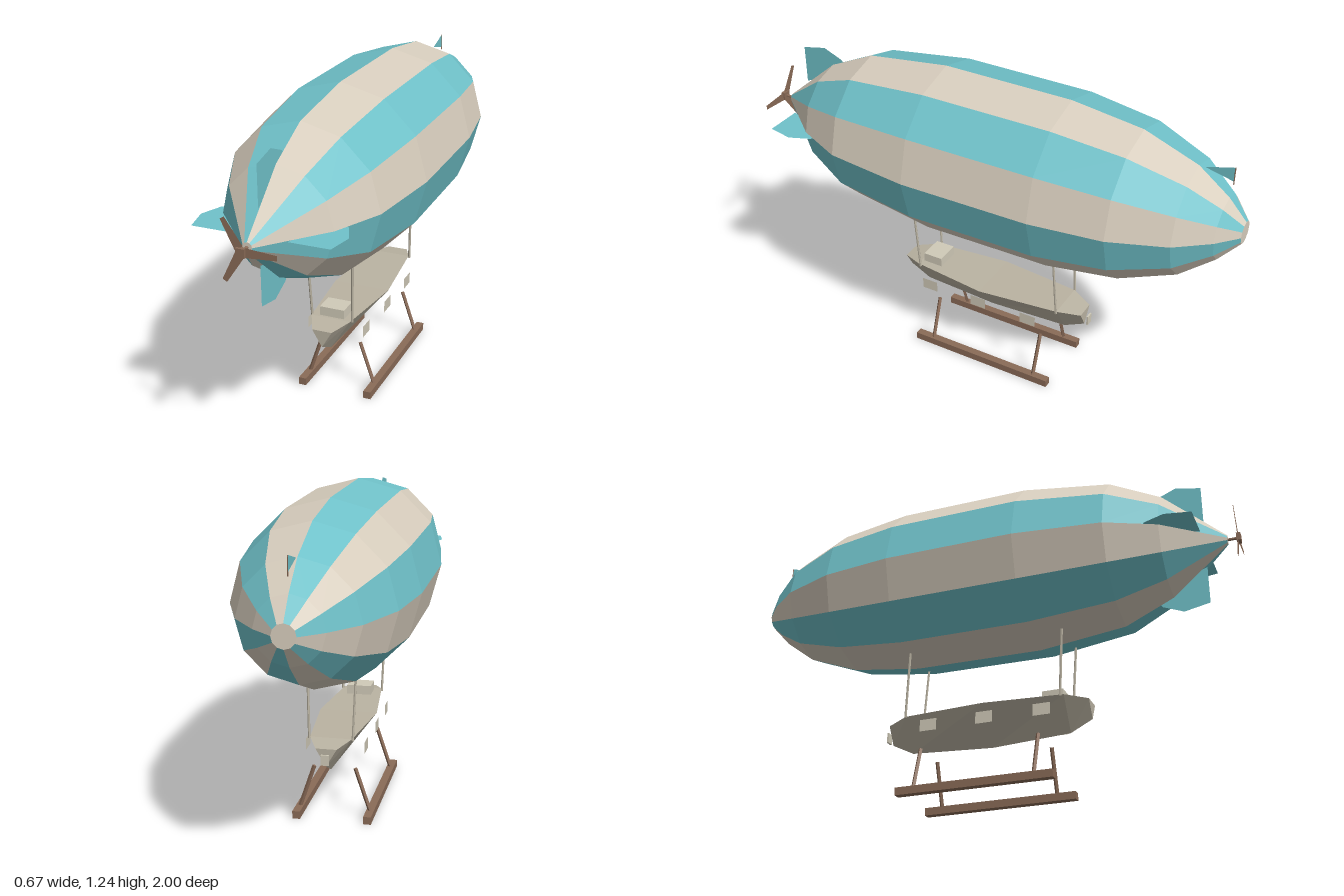
import * as THREE from 'three';

const mat = (name, color, flat = {}) => Object.assign(
  new THREE.MeshStandardMaterial({ color, flatShading: true, ...flat }), { name });
const DS = { side: THREE.DoubleSide };
const teal = mat('teal canvas', 0x70c2ca);
const cream = mat('cream canvas', 0xd8cebe);
const tealSheet = mat('teal sheet', 0x70c2ca, DS);
const stone = mat('stone grey', 0xbab3a2);
const pale = mat('pale panel', 0xd0cab8, DS);
const wood = mat('wood', 0x8a6b57, DS);

const AXIS_Y = 0.905;

function mesh(name, geo, material, parent) {
  const m = new THREE.Mesh(geo, material);
  m.name = name;
  parent.add(m);
  return m;
}

function geometryFrom(tris) {
  const g = new THREE.BufferGeometry().setFromPoints(tris);
  g.computeVertexNormals();
  return g;
}

// Skin over cross-sections ordered from +z to -z; only sides accepted by "use" are built
function loft(sections, use = () => true, caps = true) {
  const out = [];
  const n = sections[0].length;
  for (let i = 0; i < sections.length - 1; i++) {
    for (let k = 0; k < n; k++) {
      if (!use(k)) continue;
      const j = (k + 1) % n;
      const [a, b] = [sections[i][k], sections[i][j]];
      const [d, c] = [sections[i + 1][k], sections[i + 1][j]];
      out.push(a, d, c, a, c, b);
    }
  }
  if (caps) {
    const f = sections[0], e = sections[sections.length - 1];
    for (let k = 1; k < n - 1; k++) out.push(f[0], f[k], f[k + 1], e[0], e[k + 1], e[k]);
  }
  return geometryFrom(out);
}

// Thin round or square rod between two points
function rod(name, from, to, radius, sides, material, parent) {
  const a = new THREE.Vector3(...from), b = new THREE.Vector3(...to);
  const m = mesh(name, new THREE.CylinderGeometry(radius, radius, a.distanceTo(b), sides), material, parent);
  m.position.copy(a).add(b).multiplyScalar(0.5);
  m.quaternion.setFromUnitVectors(new THREE.Vector3(0, 1, 0), b.sub(a).normalize());
  return m;
}

function box(name, size, pos, material, parent) {
  const m = mesh(name, new THREE.BoxGeometry(...size), material, parent);
  m.position.set(...pos);
  return m;
}

const flat = pts => new THREE.ShapeGeometry(new THREE.Shape(pts.map(p => new THREE.Vector2(...p))));

function addEnvelope(root) {
  const g = new THREE.Group();
  g.name = 'envelope';
  root.add(g);
  const profile = [[0.95, 0.018], [0.73, 0.205], [0.54, 0.293], [0.2, 0.336],
    [-0.32, 0.332], [-0.6, 0.294], [-0.81, 0.213], [-0.93, 0.12], [-1, 0.042]];
  const rings = profile.map(([z, r]) => Array.from({ length: 12 }, (_, k) => {
    const a = k * Math.PI / 6;
    return new THREE.Vector3(r * Math.cos(a), AXIS_Y + r * Math.sin(a), z);
  }));
  mesh('creamPanels', loft(rings, k => k % 2 === 0), cream, g);
  mesh('tealPanels', loft(rings, k => k % 2 === 1, false), teal, g);
}

function addFins(root) {
  // Outline as (z, radius), turned so the plate holds the long axis
  const outline = [[0.865, 0.1], [0.865, 0.25], [0.765, 0.27], [0.685, 0.237], [0.66, 0.2], [0.73, 0.15]];
  for (let i = 0; i < 4; i++) {
    const pivot = new THREE.Group();
    pivot.name = 'fin' + (i + 1);
    pivot.position.y = AXIS_Y;
    pivot.rotation.z = i * Math.PI / 2;
    root.add(pivot);
    mesh('finPlate', flat(outline), tealSheet, pivot).rotation.y = -Math.PI / 2;
  }
}

function addPropeller(root) {
  const g = new THREE.Group();
  g.name = 'propeller';
  g.position.y = AXIS_Y;
  root.add(g);
  rod('shaft', [0, 0, 0.94], [0, 0, 0.99], 0.006, 6, wood, g);
  box('hub', [0.032, 0.032, 0.016], [0, 0, 0.992], wood, g);
  for (let i = 0; i < 3; i++) {
    const blade = mesh('blade', flat([[0.015, -0.017], [0.125, -0.009], [0.125, 0.009], [0.015, 0.017]]), wood, g);
    blade.position.z = 0.99;
    blade.rotation.z = i * Math.PI * 2 / 3;
  }
}

function addGondola(root) {
  const g = new THREE.Group();
  g.name = 'gondola';
  root.add(g);
  // z, half width, top, keel
  const stations = [[0.395, 0.04, 0.325, 0.257], [0.31, 0.08, 0.338, 0.213], [0, 0.115, 0.335, 0.195],
    [-0.33, 0.08, 0.338, 0.213], [-0.417, 0.04, 0.325, 0.257]];
  const sections = stations.map(([z, w, top, keel]) => [
    new THREE.Vector3(w, top, z), new THREE.Vector3(-w, top, z), new THREE.Vector3(0, keel, z)]);
  mesh('gondolaHull', loft(sections), stone, g);
  box('deckHouse', [0.1, 0.045, 0.082], [0, 0.352, 0.258], pale, g);
  box('sternPlate', [0.03, 0.04, 0.007], [0, 0.288, -0.435], pale, g);
  for (const s of [-1, 1]) {
    for (const z of [0.233, 0.007, -0.22]) {
      const w = mesh('window', new THREE.PlaneGeometry(0.068, 0.046), pale, g);
      w.position.set(s * 0.114, 0.278, z);
      w.rotation.y = s * Math.PI / 2;
    }
  }
}

function addRigging(root) {
  for (const s of [-1, 1]) {
    // Suspension lines
    for (const [top, bottom] of [[0.313, 0.297], [-0.313, -0.33]])
      rod('suspensionLine', [s * 0.092, 0.6, top], [s * 0.083, 0.332, bottom], 0.005, 6, stone, root);
    // Landing skids and struts
    box('skid', [0.03, 0.03, 0.615], [s * 0.138, 0.015, -0.023], wood, root);
    for (const z of [0.208, -0.263])
      rod('skidStrut', [s * 0.08, 0.197, z], [s * 0.137, 0.028, z], 0.008, 4, wood, root);
  }
}

function addPennant(root) {
  // Outline as (z, y)
  const p = mesh('pennant', flat([[-0.83, 1.118], [-0.936, 1.147], [-0.936, 1.092]]), tealSheet, root);
  p.rotation.y = -Math.PI / 2;
  rod('pennantPole', [0, 1.08, -0.937], [0, 1.147, -0.937], 0.002, 4, wood, root);
}

export function createModel() {
  const root = new THREE.Group();
  root.name = 'airship';
  [addEnvelope, addFins, addPropeller, addGondola, addRigging, addPennant].forEach(add => add(root));
  return root;
}
